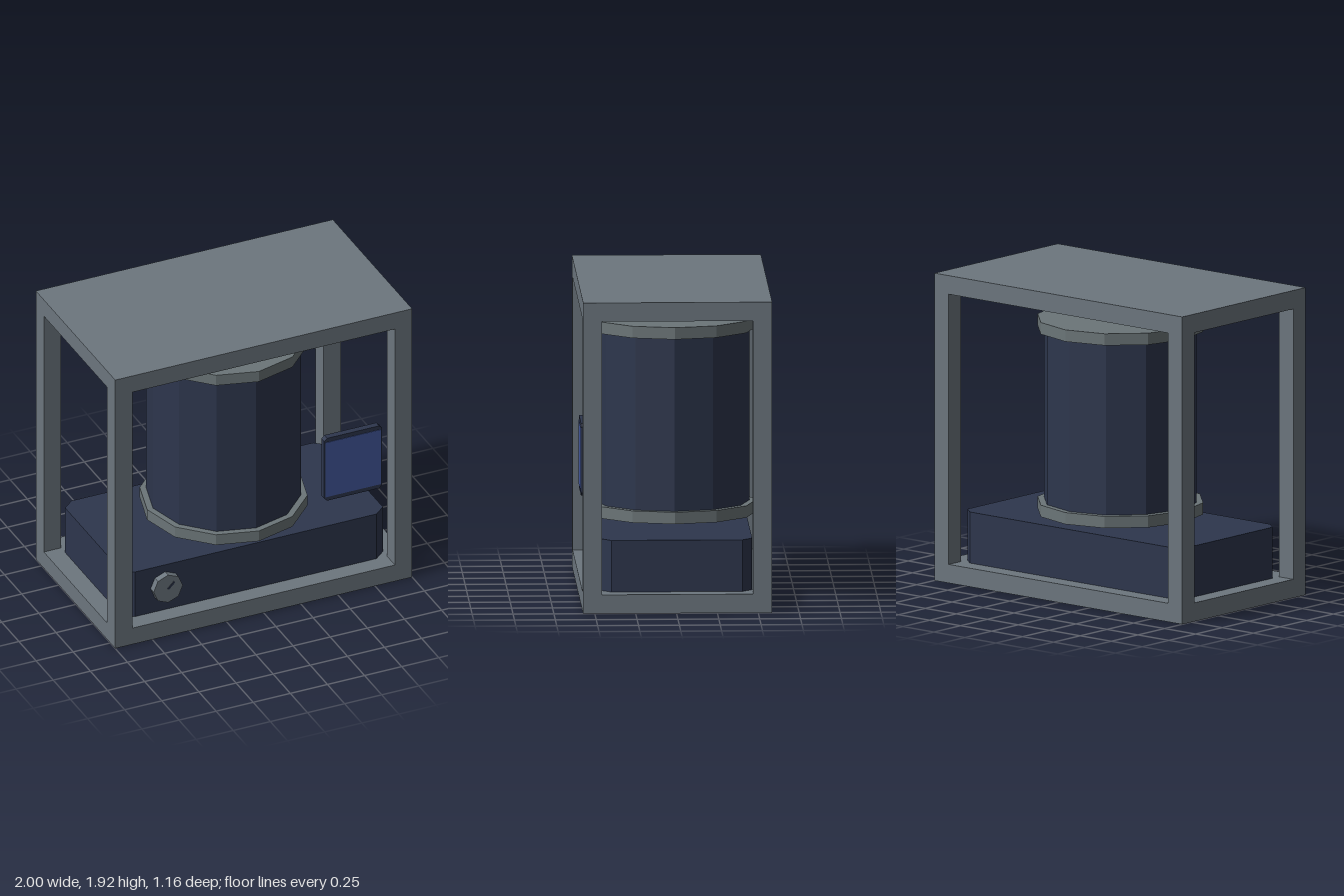
import * as THREE from 'three';

const material = (name, color) => {
  const m = new THREE.MeshStandardMaterial({ color });
  m.name = name;
  return m;
};

export function createModel() {
  const model = new THREE.Group();
  model.name = 'framedMachine';
  const steel = material('steel grey', 0x6c767e);
  const capGrey = material('cap grey', 0x6b7578);
  const navy = material('dark navy', 0x2d364d);
  const blue = material('screen blue', 0x42579b);
  const midZ = -0.007;

  const add = (name, geometry, mat, x, y, z) => {
    // separate the facets so every face is lit flat
    const flat = geometry.index ? geometry.toNonIndexed() : geometry;
    flat.computeVertexNormals();
    const mesh = new THREE.Mesh(flat, mat);
    mesh.name = name;
    mesh.position.set(x, y, z);
    model.add(mesh);
    return mesh;
  };

  // Rectangle with cut corners, extruded along +z
  const cutPlate = (w, h, cx, cy, depth) => {
    const a = w / 2, b = h / 2;
    const points = [
      [-a + cx, -b], [a - cx, -b], [a, -b + cy], [a, b - cy],
      [a - cx, b], [-a + cx, b], [-a, b - cy], [-a, -b + cy],
    ].map(([x, y]) => new THREE.Vector2(x, y));
    return new THREE.ExtrudeGeometry(new THREE.Shape(points), { depth, bevelEnabled: false });
  };

  // Outer frame: floor and roof slabs joined by four square posts
  const frameD = 1.156, t = 0.116, height = 1.92;
  add('floorSlab', new THREE.BoxGeometry(2, t, frameD), steel, 0, t / 2, midZ);
  add('roofSlab', new THREE.BoxGeometry(2, t, frameD), steel, 0, height - t / 2, midZ);
  for (const sx of [-1, 1]) {
    for (const sz of [-1, 1]) {
      add('framePost', new THREE.BoxGeometry(t, height - 2 * t, t), steel,
        sx * (1 - t / 2), height / 2, midZ + sz * (frameD - t) / 2);
    }
  }

  // Base housing with cut vertical corners
  const base = cutPlate(1.768, 0.924, 0.07, 0.06, 0.319);
  base.rotateX(-Math.PI / 2);
  add('baseHousing', base, navy, 0, t, midZ);

  // Twelve-sided drum on a short spindle, with a flange at each end
  add('spindle', new THREE.CylinderGeometry(0.032, 0.032, 0.06, 8), steel, -0.003, 0.455, midZ);
  add('drum', new THREE.CylinderGeometry(0.475, 0.475, 1.08, 12), navy, -0.003, 1.085, midZ);
  for (const y of [0.515, 1.656]) {
    add('drumFlange', new THREE.CylinderGeometry(0.515, 0.515, 0.073, 12), capGrey, -0.003, y, midZ);
  }

  // Control panel with its screen
  add('panelBody', cutPlate(0.39, 0.446, 0.02, 0.02, 0.042), navy, 0.6, 0.92, 0.535);
  add('panelScreen', new THREE.BoxGeometry(0.373, 0.39, 0.004), blue, 0.6, 0.92, 0.578);

  // Octagonal dial with a slanted pointer
  const dial = new THREE.CylinderGeometry(0.098, 0.098, 0.05, 8);
  dial.rotateX(Math.PI / 2);
  add('dial', dial, steel, -0.61, 0.288, 0.475);
  const pointer = add('dialPointer', new THREE.BoxGeometry(0.06, 0.012, 0.006), navy, -0.59, 0.308, 0.502);
  pointer.rotation.z = Math.PI / 4;

  return model;
}
